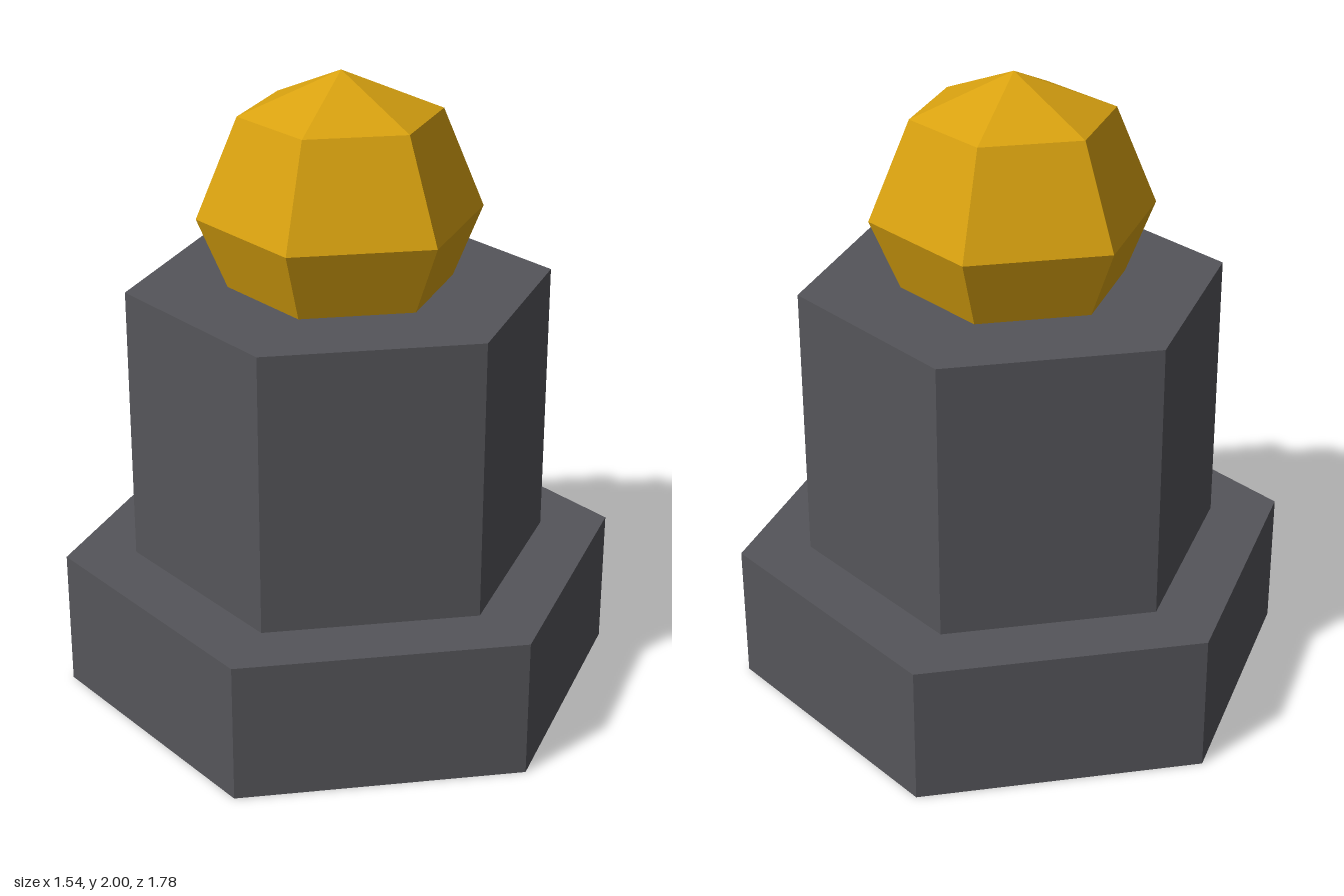
import * as THREE from 'three';

export function createModel() {
  const model = new THREE.Group();
  const stone = new THREE.MeshStandardMaterial({ color: 0x55555a, flatShading: true });
  stone.name = 'darkStone';
  const gold = new THREE.MeshStandardMaterial({ color: 0xd9a210, flatShading: true });
  gold.name = 'gold';

  const add = (name, geometry, material, y) => {
    const mesh = new THREE.Mesh(geometry, material);
    mesh.name = name;
    mesh.position.y = y;
    model.add(mesh);
    return mesh;
  };
  const hexPrism = (radius, height) => new THREE.CylinderGeometry(radius, radius, height, 6);

  // Hexagonal plinth and post, corners facing front and back
  const unit = 4 / 9;
  add('base', hexPrism(2 * unit, unit), stone, unit / 2);
  add('post', hexPrism(1.5 * unit, 2 * unit), stone, 2 * unit);

  // Faceted ball half sunk into the post, turned to line up with its corners
  const ball = add('ball', new THREE.SphereGeometry(unit, 6, 4), gold, 3.5 * unit);
  ball.rotation.y = Math.PI / 6;

  return model;
}
